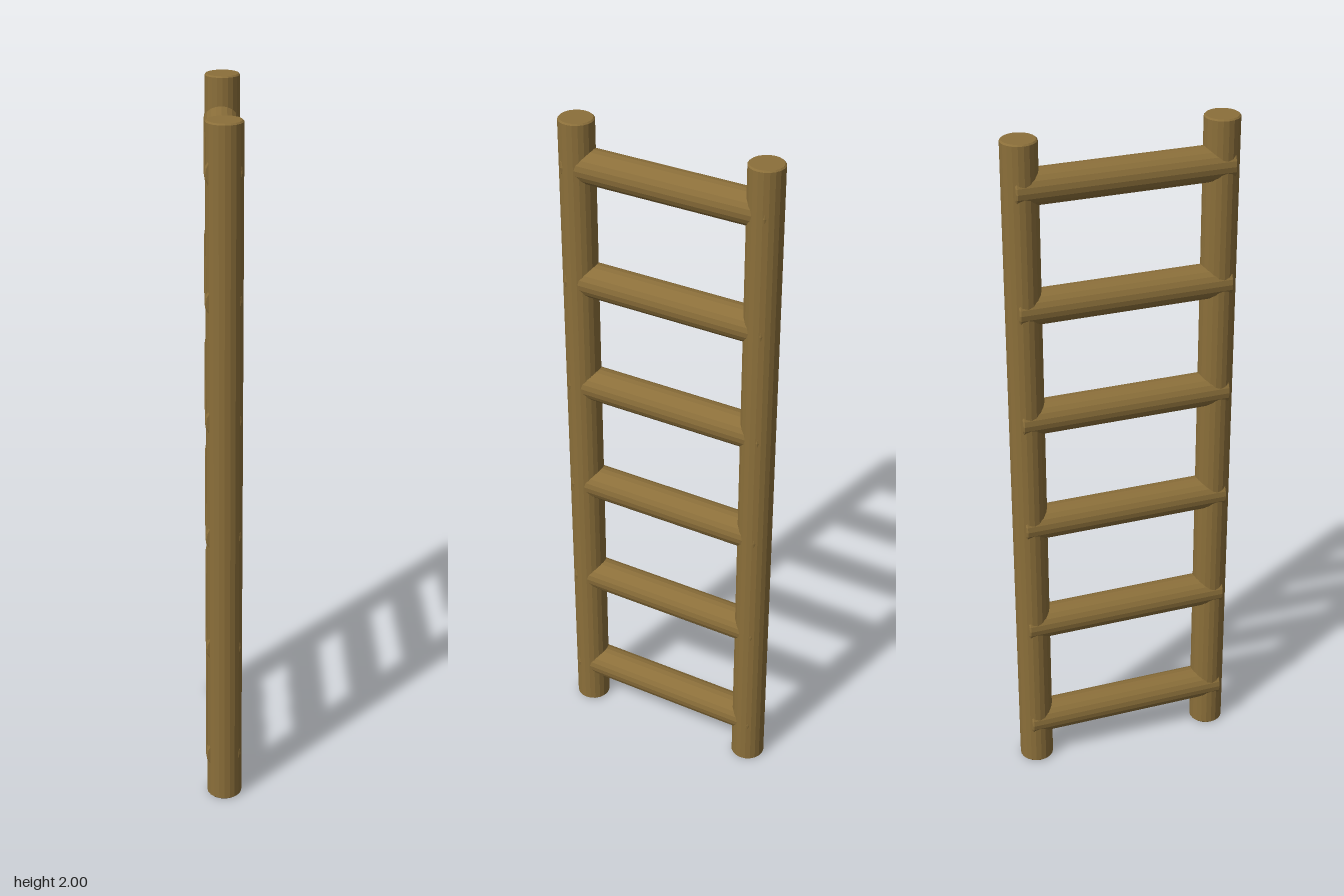
import * as THREE from 'three';

const SIDES = 20;
const RADIUS = 0.05;
const BEVEL = 0.004;

// Round pole with slightly eased ends, centred on the origin along y
function poleGeometry(length) {
  const h = length / 2;
  const profile = [
    [0, -h], [RADIUS - BEVEL, -h], [RADIUS, -h + BEVEL],
    [RADIUS, h - BEVEL], [RADIUS - BEVEL, h], [0, h],
  ].map(([r, y]) => new THREE.Vector2(r, y));
  return new THREE.LatheGeometry(profile, SIDES);
}

export function createModel() {
  const ladder = new THREE.Group();
  ladder.name = 'ladder';
  const wood = new THREE.MeshStandardMaterial({ color: 0x8b6f3a, flatShading: true });

  // Two upright rails
  const railGeometry = poleGeometry(2);
  for (const [name, side] of [['frontRail', 1], ['backRail', -1]]) {
    const rail = new THREE.Mesh(railGeometry, wood);
    rail.name = name;
    rail.position.set(0, 1, side * 0.281);
    ladder.add(rail);
  }

  // Six rungs, set slightly proud of the rails on the -x side
  const rungGeometry = poleGeometry(0.615).rotateX(Math.PI / 2);
  [0.14, 0.492, 0.84, 1.185, 1.523, 1.867].forEach((y, i) => {
    const rung = new THREE.Mesh(rungGeometry, wood);
    rung.name = `rung${i + 1}`;
    rung.position.set(-0.003, y, 0.002);
    ladder.add(rung);
  });

  return ladder;
}
